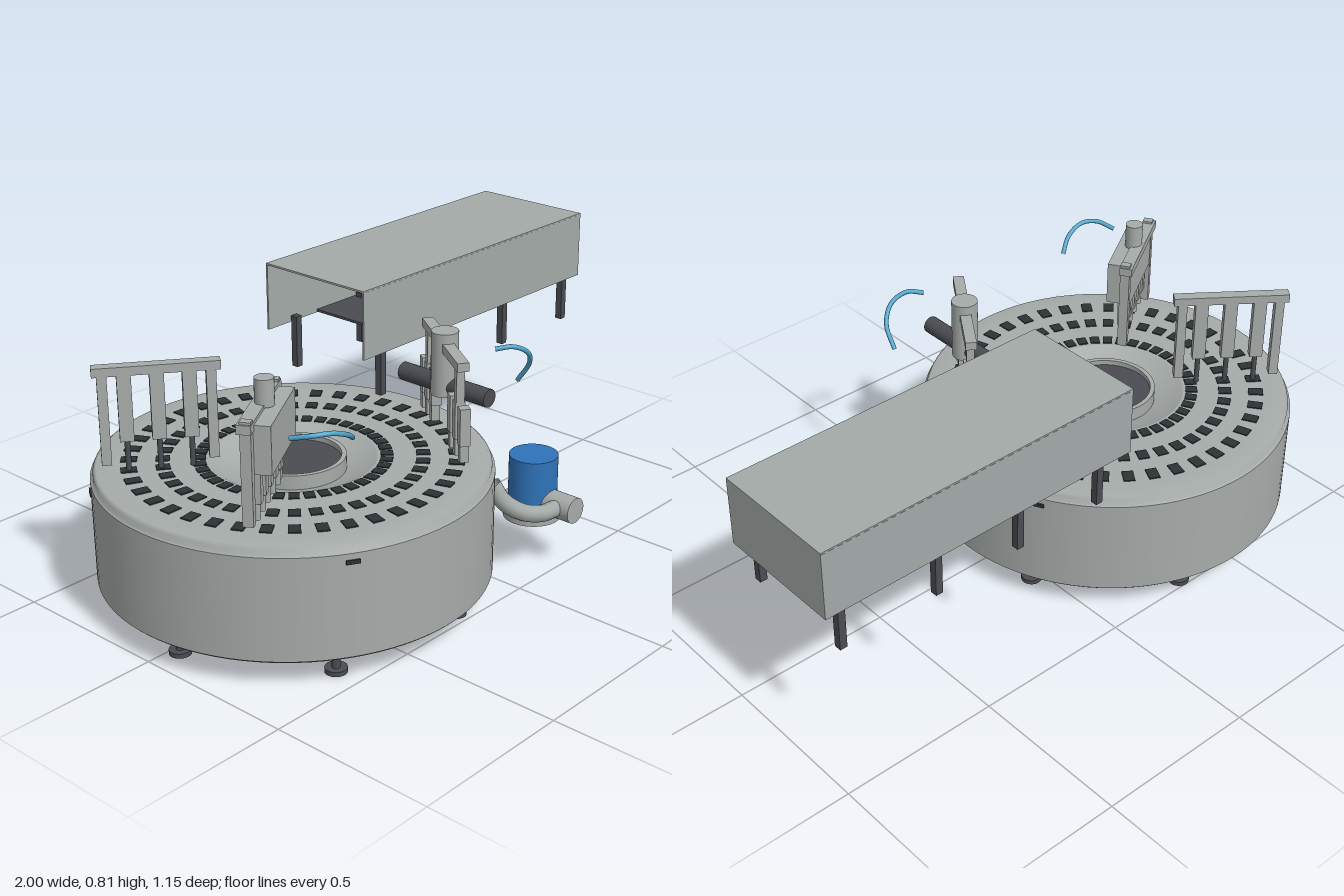
import * as THREE from 'three';

const mat = (name, color, side = THREE.FrontSide) => {
  const m = new THREE.MeshStandardMaterial({ color, side });
  m.name = name;
  return m;
};

export function createModel() {
  const steel = mat('light grey metal', 0xa6acaa);
  const shell = mat('light grey sheet', 0xa3aaa8, THREE.DoubleSide);
  const dark = mat('dark grey metal', 0x4a4c52);
  const black = mat('black pocket', 0x2b3335);
  const blue = mat('motor blue', 0x2f74ba);
  const cyan = mat('hose cyan', 0x4fa6cc);

  const model = new THREE.Group();
  model.name = 'rotaryMachine';

  const add = (parent, name, geometry, material, x = 0, y = 0, z = 0) => {
    const m = new THREE.Mesh(geometry, material);
    m.name = name;
    m.position.set(x, y, z);
    parent.add(m);
    return m;
  };
  // box and upright cylinder placed by their bottom and top heights
  const box = (p, name, material, w, d, y0, y1, x = 0, z = 0) =>
    add(p, name, new THREE.BoxGeometry(w, y1 - y0, d), material, x, (y0 + y1) / 2, z);
  const post = (p, name, material, r, y0, y1, x = 0, z = 0, n = 24) =>
    add(p, name, new THREE.CylinderGeometry(r, r, y1 - y0, n), material, x, (y0 + y1) / 2, z);
  const tube = (p, name, material, r, pts) => {
    const curve = new THREE.CatmullRomCurve3(pts.map(a => new THREE.Vector3(...a)));
    return add(p, name, new THREE.TubeGeometry(curve, 32, r, 12), material);
  };
  const group = (parent, name, x, z, angle = 0) => {
    const g = new THREE.Group();
    g.name = name;
    g.position.set(x, 0, z);
    g.rotation.y = angle;
    parent.add(g);
    return g;
  };
  const lathe = (p, name, material, pts) =>
    add(p, name, new THREE.LatheGeometry(pts.map(a => new THREE.Vector2(...a)), 96), material);

  // ---- Drum ----
  const drum = group(model, 'drum', -0.425, 0);
  lathe(drum, 'drumWall', steel, [[0.575, 0.085], [0.576, 0.393]]);
  lathe(drum, 'drumTop', steel, [[0.576, 0.393], [0.568, 0.397], [0.567, 0.412], [0.558, 0.42], [0.5, 0.421], [0.24, 0.421]]);
  lathe(drum, 'dish', steel, [[0.24, 0.421], [0.2, 0.402], [0.15, 0.385]]);
  post(drum, 'drumFloor', dark, 0.57, 0.08, 0.087, 0, 0, 96);

  // Raised hub with a dark lid inside its ring
  lathe(drum, 'hubWall', steel, [[0.152, 0.38], [0.152, 0.428]]);
  lathe(drum, 'hubRing', steel, [[0.152, 0.428], [0.138, 0.428]]);
  lathe(drum, 'hubInner', steel, [[0.138, 0.428], [0.138, 0.405]]);
  post(drum, 'hubLid', dark, 0.139, 0.4, 0.412, 0, 0, 64);

  // Three rings of pockets
  const pocketRings = [[0.267, 0.036, 0.03], [0.371, 0.04, 0.034], [0.467, 0.046, 0.034]];
  for (const [r, length, width] of pocketRings) {
    const geometry = new THREE.BoxGeometry(length, 0.007, width);
    for (let i = 0; i < 40; i++) {
      const a = (i / 40) * Math.PI * 2;
      add(drum, 'pocket', geometry, black, r * Math.cos(a), 0.421, r * Math.sin(a)).rotation.y = -a;
    }
  }

  // Small latches on the wall
  for (const deg of [120, -26, 215]) {
    const a = THREE.MathUtils.degToRad(deg);
    add(drum, 'latch', new THREE.BoxGeometry(0.009, 0.012, 0.038), black,
      0.576 * Math.cos(a), 0.369, 0.576 * Math.sin(a)).rotation.y = -a;
  }

  // Levelling feet
  const feet = [[-0.485, 0.03], [0.46, -0.165], [0.185, 0.455], [-0.27, 0.415], [-0.305, -0.38], [0.125, -0.47]];
  for (const [x, z] of feet) {
    post(drum, 'footPad', dark, 0.032, 0, 0.014, x, z);
    post(drum, 'footStem', dark, 0.012, 0.014, 0.085, x, z);
  }

  // ---- Conveyor hood, open at the end above the drum ----
  const hood = group(model, 'conveyorHood', 0, 0);
  box(hood, 'hoodRoof', shell, 1.07, 0.405, 0.805, 0.811, 0.465, -0.254);
  for (const z of [-0.054, -0.454]) box(hood, 'hoodSide', shell, 1.07, 0.006, 0.595, 0.806, 0.465, z);
  box(hood, 'hoodEnd', shell, 0.006, 0.395, 0.595, 0.806, 0.997, -0.254);
  box(hood, 'conveyorBed', dark, 0.85, 0.394, 0.597, 0.605, 0.57, -0.254);
  for (const x of [0.03, 0.33, 0.62, 0.94])
    for (const z of [-0.075, -0.43]) box(hood, 'hoodLeg', dark, 0.023, 0.023, 0.452, 0.62, x, z);

  // ---- Front left station: radial box with a top cylinder ----
  const press = group(model, 'pressStation', -0.725, 0.2, 0.55);
  box(press, 'pressBody', steel, 0.27, 0.075, 0.59, 0.728, 0, 0.012);
  box(press, 'pressBeam', steel, 0.33, 0.04, 0.712, 0.738, 0, -0.015);
  post(press, 'pressCylinder', steel, 0.027, 0.73, 0.807);
  for (let i = -2; i <= 2; i++) {
    box(press, 'pressFinger', steel, 0.026, 0.03, 0.5, 0.59, i * 0.055, 0);
    post(press, 'pressTip', steel, 0.009, 0.45, 0.5, i * 0.055, 0);
  }
  for (const s of [-1, 1]) box(press, 'pressPillar', steel, 0.024, 0.03, 0.45, 0.745, s * 0.148, -0.012);
  tube(model, 'pressHose', cyan, 0.007,
    [[-0.79, 0.7, 0.355], [-0.765, 0.714, 0.41], [-0.72, 0.714, 0.435], [-0.66, 0.69, 0.432], [-0.605, 0.655, 0.4]]);

  // ---- Back left station: radial row of plungers ----
  const plungers = group(model, 'plungerStation', -0.73, -0.22, -0.65);
  box(plungers, 'plungerBeam', steel, 0.355, 0.034, 0.712, 0.738);
  for (const t of [-0.09, 0, 0.09]) {
    box(plungers, 'plungerBody', steel, 0.04, 0.03, 0.515, 0.715, t);
    post(plungers, 'plungerRod', dark, 0.008, 0.424, 0.515, t);
  }
  for (const t of [-0.15, 0.15]) box(plungers, 'plungerLeg', steel, 0.028, 0.03, 0.447, 0.715, t);

  // ---- Front right station: tangential beam with grippers and a motor ----
  const gripper = group(model, 'gripperStation', -0.065, 0.257, 0.97);
  box(gripper, 'gripperBeam', steel, 0.38, 0.034, 0.712, 0.738);
  post(gripper, 'gripperCylinder', steel, 0.04, 0.575, 0.766);
  for (const s of [-1, 1]) {
    box(gripper, 'gripperColumn', steel, 0.024, 0.024, 0.5, 0.715, s * 0.155);
    for (const t of [0.1, 0.152, 0.204]) {
      box(gripper, 'gripperFinger', steel, 0.03, 0.03, 0.5, 0.612, s * t);
      box(gripper, 'gripperJaw', steel, 0.022, 0.026, 0.45, 0.5, s * t);
    }
  }
  const motor = add(model, 'gripperMotor', new THREE.CylinderGeometry(0.027, 0.027, 0.32, 24), dark, -0.065, 0.603, 0.262);
  motor.rotation.x = Math.PI / 2;
  tube(model, 'gripperHose', cyan, 0.007,
    [[-0.03, 0.738, 0.41], [0.01, 0.742, 0.442], [0.06, 0.715, 0.456], [0.098, 0.665, 0.435], [0.105, 0.6, 0.39]]);

  // ---- Pump beside the drum ----
  const pump = group(model, 'pump', 0.208, 0.38);
  post(pump, 'pumpBase', steel, 0.088, 0.128, 0.19, 0, 0, 48);
  post(pump, 'pumpMotor', blue, 0.074, 0.19, 0.328, 0, 0, 48);
  const outlet = add(pump, 'pumpOutlet', new THREE.CylinderGeometry(0.04, 0.04, 0.11, 32), steel, 0, 0.19, 0.105);
  outlet.rotation.x = Math.PI / 2;
  tube(model, 'pumpPipe', shell, 0.026,
    [[-0.028, 0.32, 0.41], [-0.005, 0.265, 0.435], [0.045, 0.222, 0.465], [0.11, 0.2, 0.485], [0.2, 0.19, 0.488]]);

  return model;
}
